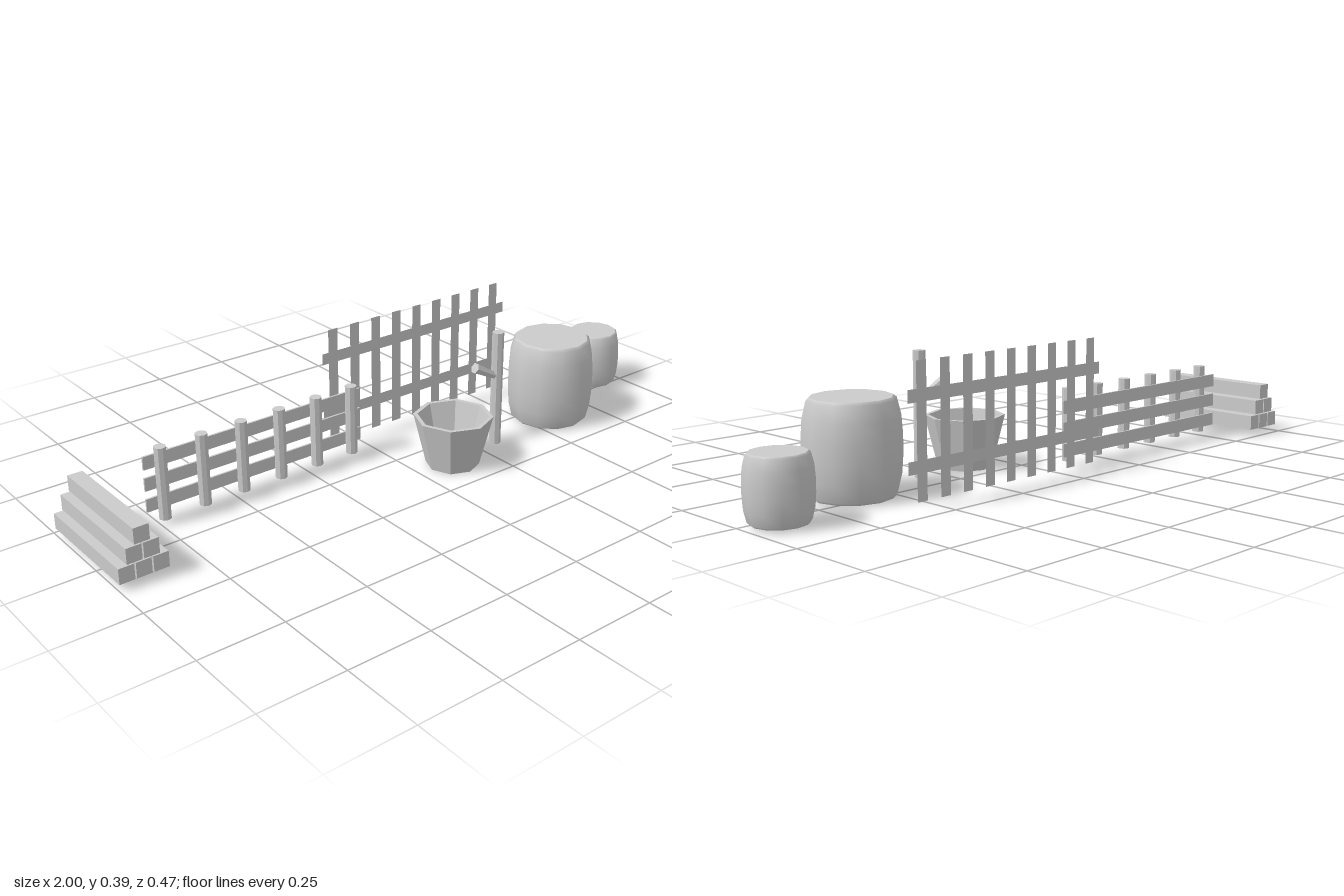
import * as THREE from 'three';

const flat = new THREE.MeshStandardMaterial({ color: 0xcccccc, flatShading: true });
const smooth = new THREE.MeshStandardMaterial({ color: 0xcccccc });
const sheet = new THREE.MeshStandardMaterial({ color: 0xcccccc, side: THREE.DoubleSide });

function add(parent, name, geometry, material, x, y, z) {
  const mesh = new THREE.Mesh(geometry, material);
  mesh.name = name;
  mesh.position.set(x, y, z);
  parent.add(mesh);
  return mesh;
}

function group(parent, name) {
  const g = new THREE.Group();
  g.name = name;
  parent.add(g);
  return g;
}

const lathe = (points, sides) =>
  new THREE.LatheGeometry(points.map(([r, y]) => new THREE.Vector2(r, y)), sides);

// Bulging barrel with small rounded rims and flat lids
function barrel(parent, name, x, z, y0, y1, r, rEnd) {
  const g = group(parent, name);
  const h = y1 - y0, sides = 12, edge = (r - rEnd) * 0.35;
  const profile = [
    [rEnd, 0], [rEnd + edge, h * 0.03], [r * 0.97, h * 0.2], [r, h * 0.4],
    [r, h * 0.6], [r * 0.97, h * 0.8], [rEnd + edge, h * 0.97], [rEnd, h],
  ];
  add(g, 'staves', lathe(profile, sides), smooth, x, y0, z);
  add(g, 'topLid', lathe([[rEnd, 0], [0, 0]], sides), flat, x, y1, z);
  add(g, 'bottomLid', lathe([[0, 0], [rEnd, 0]], sides), flat, x, y0, z);
}

export function createModel() {
  const model = new THREE.Group();
  model.name = 'farmyardProps';

  // Stacked square beams, three rows
  const stack = group(model, 'beamStack');
  for (let row = 0; row < 3; row++) {
    for (let i = 0; i < 3 - row; i++) {
      add(stack, 'beam', new THREE.BoxGeometry(0.045, 0.046, 0.365), flat,
        -0.977 + i * 0.0495 + row * 0.025, 0.047 + row * 0.0495, -0.052);
    }
  }

  // Post and rail fence
  const railFence = group(model, 'railFence');
  for (let i = 0; i < 6; i++) {
    add(railFence, 'post', new THREE.CylinderGeometry(0.018, 0.018, 0.22, 8), flat,
      -0.735 + i * 0.129, 0.13, -0.105);
  }
  for (const y of [0.06, 0.125, 0.19]) {
    add(railFence, 'rail', new THREE.BoxGeometry(0.738, 0.04, 0.006), flat, -0.408, y, -0.131);
  }

  // Picket fence of paper-thin boards
  const picketFence = group(model, 'picketFence');
  for (let i = 0; i < 9; i++) {
    add(picketFence, 'picket', new THREE.PlaneGeometry(0.034, 0.37), sheet,
      -0.09 + i * 0.0812, 0.21, -0.19);
  }
  for (const y of [0.118, 0.305]) {
    add(picketFence, 'picketRail', new THREE.PlaneGeometry(0.737, 0.035), sheet, 0.239, y, -0.191);
  }

  // Open eight-sided bucket: outer wall, rim, inner wall and floor
  add(model, 'bucket', lathe([
    [0, 0], [0.081, 0], [0.12, 0.157], [0.107, 0.157], [0.074, 0.025], [0, 0.025],
  ], 8), flat, 0.125, 0.003, 0.115);

  // Water pump: post with a slanted spout that widens outward
  const pump = group(model, 'pump');
  add(pump, 'pumpPost', new THREE.CylinderGeometry(0.018, 0.018, 0.368, 8), flat, 0.318, 0.188, 0.095);
  const from = new THREE.Vector3(0.312, 0.231, 0.095);
  const to = new THREE.Vector3(0.233, 0.274, 0.088);
  const spout = add(pump, 'spout',
    new THREE.CylinderGeometry(0.017, 0.011, from.distanceTo(to), 6), flat,
    (from.x + to.x) / 2, (from.y + to.y) / 2, (from.z + to.z) / 2);
  spout.quaternion.setFromUnitVectors(new THREE.Vector3(0, 1, 0), to.clone().sub(from).normalize());

  barrel(model, 'largeBarrel', 0.593, 0.055, 0.004, 0.278, 0.138, 0.114);
  barrel(model, 'smallBarrel', 0.907, -0.052, 0.01, 0.191, 0.091, 0.075);

  return model;
}
